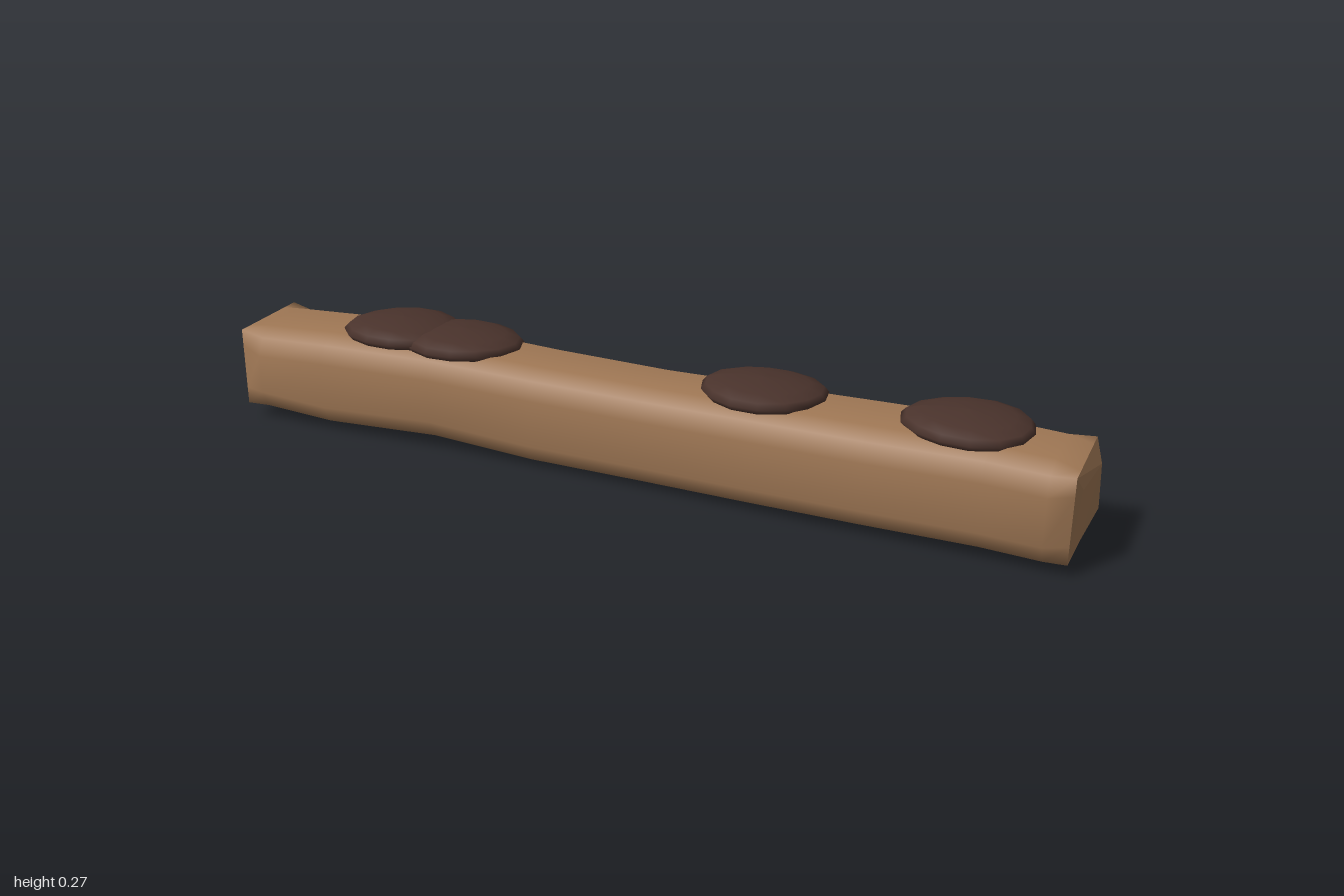
import * as THREE from 'three';

const wood = new THREE.MeshStandardMaterial({ color: 0xa07855 });
wood.name = 'wood brown';
const dark = new THREE.MeshStandardMaterial({ color: 0x4a332c });
dark.name = 'dark brown';

// Beam stations along x: [x, bottom, top, back, front, bulge of the faces past the corners]
const stations = [
  [-0.98, 0.035, 0.222, -0.100, 0.112, 0],
  [-0.92, 0.022, 0.230, -0.110, 0.134, 0.018],
  [-0.75, 0.008, 0.237, -0.119, 0.130, 0.02],
  [-0.47, 0.018, 0.240, -0.120, 0.121, 0.02],
  [-0.22, 0.003, 0.233, -0.114, 0.118, 0.02],
  [0.05, 0.002, 0.230, -0.110, 0.117, 0.02],
  [0.30, 0.005, 0.234, -0.112, 0.126, 0.02],
  [0.55, 0.008, 0.236, -0.119, 0.132, 0.02],
  [0.80, 0.011, 0.240, -0.118, 0.134, 0.02],
  [0.93, 0.008, 0.236, -0.112, 0.138, 0.02],
  [0.98, 0.030, 0.220, -0.100, 0.118, 0],
];

// Twelve-sided worn square, running from the front face up and over
function section([x, y0, y1, z0, z1, b]) {
  const Y0 = y0 + b, Y1 = y1 - b, Z0 = z0 + b, Z1 = z1 - b, i = 0.04;
  return [
    [x, Y0 + i, z1], [x, Y1 - i, z1], [x, Y1, Z1],
    [x, y1, Z1 - i], [x, y1, Z0 + i], [x, Y1, Z0],
    [x, Y1 - i, z0], [x, Y0 + i, z0], [x, Y0, Z0],
    [x, y0, Z0 + i], [x, y0, Z1 - i], [x, Y0, Z1],
  ];
}

function beamGeometry() {
  const n = 12, index = [];
  for (let s = 0; s < stations.length - 1; s++) {
    for (let j = 0; j < n; j++) {
      const a = s * n + j, b = s * n + (j + 1) % n;
      index.push(a, a + n, b + n, a, b + n, b);
    }
  }
  const g = new THREE.BufferGeometry();
  g.setAttribute('position', new THREE.Float32BufferAttribute(stations.flatMap(section).flat(), 3));
  g.setIndex(index);
  g.computeVertexNormals();
  return g;
}

// Flat-sided geometry from quads
function quads(list, flip) {
  const p = [];
  for (const [a, b, c, d] of list) {
    const q = flip ? [a, c, b, a, d, c] : [a, b, c, a, c, d];
    q.forEach((v) => p.push(...v));
  }
  const g = new THREE.BufferGeometry();
  g.setAttribute('position', new THREE.Float32BufferAttribute(p, 3));
  g.computeVertexNormals();
  return g;
}

// Bevelled end cap: rectangle stepping out to a smaller raised face
function endCap(station, side) {
  const group = new THREE.Group();
  group.name = side > 0 ? 'leftEnd' : 'rightEnd';
  const [x, y0, y1, z0, z1] = station;
  const outer = [[x, y0, z1], [x, y1, z1], [x, y1, z0], [x, y0, z0]];
  const inner = [
    [side * 0.993, 0.07, z1 - 0.035], [side * 0.99, 0.185, z1 - 0.03],
    [side, 0.18, z0 + 0.04], [side, 0.066, z0 + 0.01],
  ];
  const rim = [0, 1, 2, 3].map((k) => {
    const m = (k + 1) % 4;
    return [outer[k], outer[m], inner[m], inner[k]];
  });
  const bottom = rim.pop();
  const face = new THREE.Mesh(quads([...rim, inner], side > 0), wood);
  face.name = 'endFace';
  const bevel = new THREE.Mesh(quads([bottom], side > 0), side > 0 ? dark : wood);
  bevel.name = 'endBevel';
  group.add(face, bevel);
  return group;
}

// Flattened rounded patch with a slightly uneven rim
function patchGeometry(seed) {
  const g = new THREE.SphereGeometry(1, 14, 8);
  const p = g.attributes.position;
  for (let i = 0; i < p.count; i++) {
    const a = Math.atan2(p.getZ(i), p.getX(i));
    const k = 1 + 0.025 * Math.sin(3 * a + seed);
    p.setXYZ(i, p.getX(i) * k * 0.14, p.getY(i) * 0.031, p.getZ(i) * k * 0.128);
  }
  g.computeVertexNormals();
  return g;
}

export function createModel() {
  const model = new THREE.Group();
  model.name = 'woodenBeam';

  const beam = new THREE.Mesh(beamGeometry(), wood);
  beam.name = 'beam';
  model.add(beam, endCap(stations[0], -1), endCap(stations[stations.length - 1], 1));

  // Dark patches on the top: [x, y, z, tilt]
  const patches = [
    [-0.605, 0.241, -0.011, -0.03], [-0.445, 0.236, -0.011, -0.05],
    [0.29, 0.238, -0.010, -0.06], [0.735, 0.241, -0.011, -0.03],
  ];
  patches.forEach(([x, y, z, tilt], i) => {
    const patch = new THREE.Mesh(patchGeometry(i * 1.7), dark);
    patch.name = 'topPatch' + (i + 1);
    patch.position.set(x, y, z);
    patch.rotation.x = tilt;
    model.add(patch);
  });
  return model;
}
